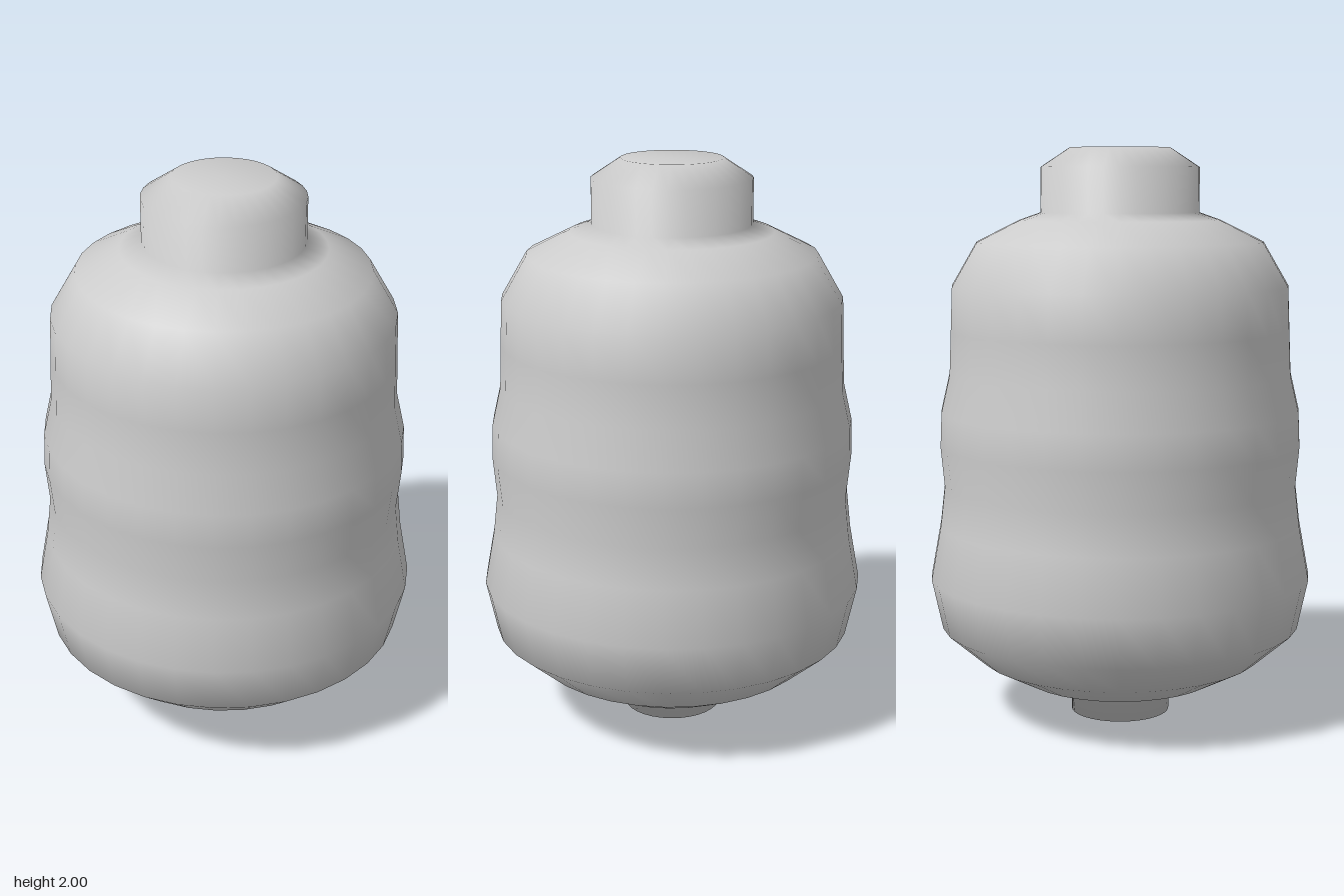
import * as THREE from 'three';

const SEGMENTS = 32;

// Revolve a [radius, height] profile, listed from bottom to top
function turned(name, profile) {
  const points = profile.map(([r, y]) => new THREE.Vector2(r, y));
  const material = new THREE.MeshStandardMaterial({ color: 0xcccccc });
  const mesh = new THREE.Mesh(new THREE.LatheGeometry(points, SEGMENTS), material);
  mesh.name = name;
  return mesh;
}

export function createModel() {
  const model = new THREE.Group();
  model.name = 'ribbedHead';

  // One smooth skin: neck peg, rounded base, wavy sides, shoulder and top stud
  model.add(turned('headShell', [
    // neck peg
    [0, 0], [0.175, 0], [0.175, 0.075],
    // rounded base
    [0.35, 0.127], [0.5, 0.206], [0.635, 0.323],
    // wavy sides
    [0.673, 0.5], [0.638, 0.69], [0.622, 0.83], [0.635, 0.97],
    [0.63, 1.09], [0.6, 1.22], [0.594, 1.37], [0.588, 1.525],
    // shoulder
    [0.5, 1.677], [0.35, 1.752], [0.276, 1.778],
    // top stud with bevelled rim
    [0.276, 1.933], [0.175, 2], [0, 2],
  ]));

  return model;
}
